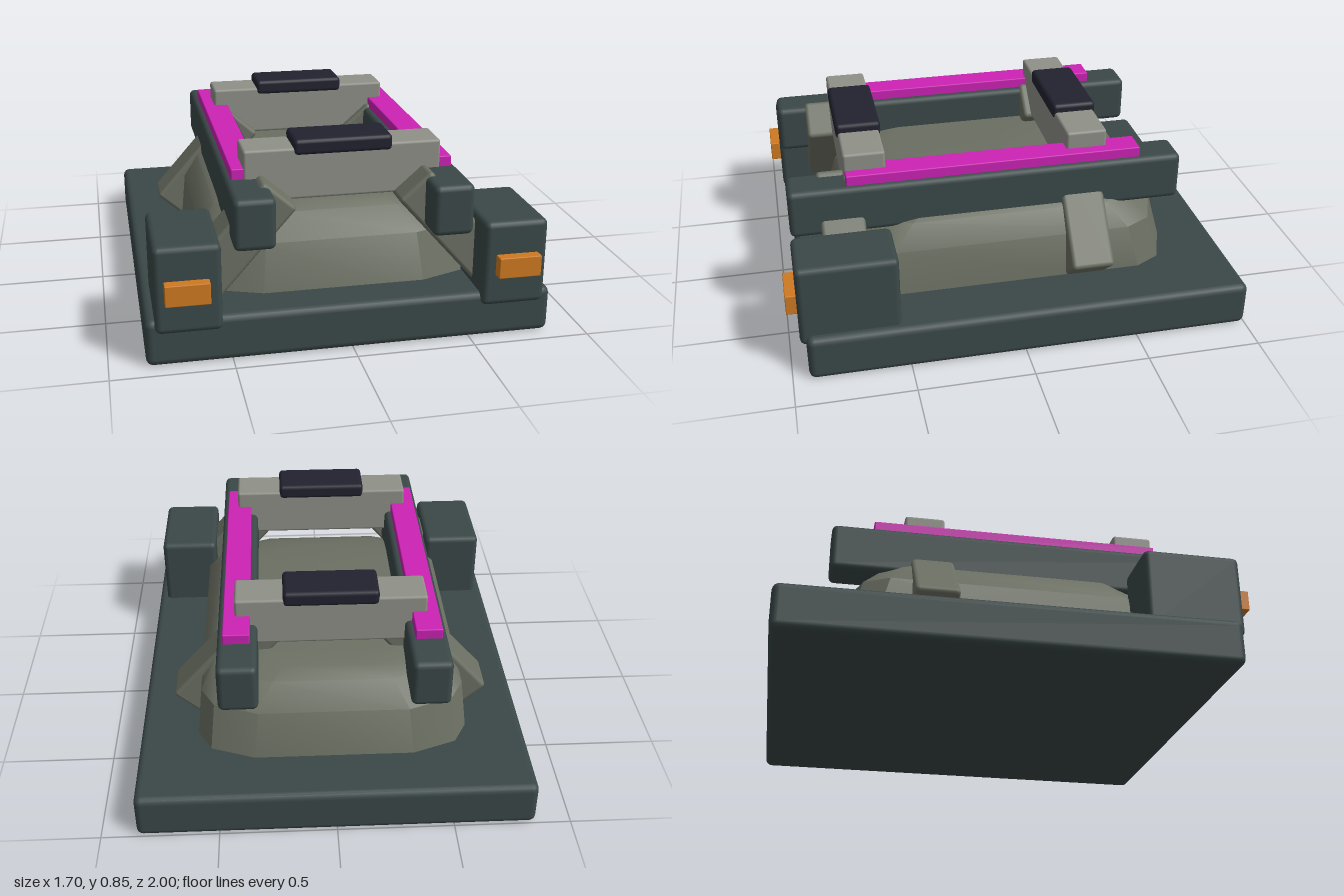
import * as THREE from 'three';
import { toCreasedNormals } from 'three/addons/utils/BufferGeometryUtils.js';
import { RoundedBoxGeometry } from 'three/addons/geometries/RoundedBoxGeometry.js';

const paint = (name, color) => {
  const m = new THREE.MeshStandardMaterial({ color });
  m.name = name;
  return m;
};

export function createModel() {
  const slate = paint('dark slate', 0x3b4848);
  const olive = paint('olive grey', 0x6c7063);
  const lightGrey = paint('light grey', 0x8f9088);
  const black = paint('blue black', 0x222230);
  const magenta = paint('magenta', 0xcc22b4);
  const orange = paint('orange', 0xcf7a22);

  const root = new THREE.Group();
  root.name = 'dockingPlatform';

  // Rounded box given by its extents on each axis
  function block(name, mat, [x0, x1], [y0, y1], [z0, z1], radius) {
    const geo = new RoundedBoxGeometry(x1 - x0, y1 - y0, z1 - z0, 2, radius);
    const mesh = new THREE.Mesh(geo, mat);
    mesh.name = name;
    mesh.position.set((x0 + x1) / 2, (y0 + y1) / 2, (z0 + z1) / 2);
    root.add(mesh);
    return mesh;
  }

  block('base', slate, [-0.85, 0.85], [0, 0.2], [-1, 0.93], 0.03);

  // Hull: stacked outlines with cut corners, narrowing to a flat top
  const levels = [
    { y: 0.15, hx: 0.6, hz: 0.765 },
    { y: 0.4, hx: 0.575, hz: 0.7 },
    { y: 0.5, hx: 0.51, hz: 0.61 },
    { y: 0.53, hx: 0.46, hz: 0.54 },
    { y: 0.545, hx: 0.38, hz: 0.45 },
  ];
  const outline = ({ y, hx, hz }) => {
    const corner = [[hx, hz - 0.18], [hx - 0.06, hz - 0.07], [hx - 0.25, hz]];
    const flip = (sx, sz) => corner.map(([x, z]) => new THREE.Vector3(x * sx, y, z * sz));
    return [...flip(1, 1), ...flip(-1, 1).reverse(), ...flip(-1, -1), ...flip(1, -1).reverse()];
  };
  const loops = levels.map(outline);
  const n = loops[0].length;
  const pts = [];
  for (let l = 0; l < loops.length - 1; l++) {
    for (let i = 0; i < n; i++) {
      const j = (i + 1) % n;
      const a = loops[l][i], b = loops[l][j], c = loops[l + 1][j], d = loops[l + 1][i];
      pts.push(a, c, b, a, d, c);
    }
  }
  const top = loops[loops.length - 1];
  for (let i = 1; i < n - 1; i++) pts.push(top[0], top[i + 1], top[i]);
  // Keep every triangle facing outward from the hull centre
  const centre = new THREE.Vector3(0, 0.3, 0);
  for (let i = 0; i < pts.length; i += 3) {
    const [a, b, c] = pts.slice(i, i + 3);
    const normal = b.clone().sub(a).cross(c.clone().sub(a));
    if (normal.dot(a.clone().sub(centre)) < 0) [pts[i + 1], pts[i + 2]] = [c, b];
  }
  const hullGeo = new THREE.BufferGeometry().setFromPoints(pts);
  const hull = new THREE.Mesh(toCreasedNormals(hullGeo, 0.5), olive);
  hull.name = 'hull';
  root.add(hull);

  // Paired side parts
  for (const [side, s] of [['left', 1], ['right', -1]]) {
    const span = (a, b) => (s > 0 ? [a, b] : [-b, -a]);
    block(side + 'CornerBlock', slate, span(0.54, 0.81), [0.15, 0.52], [0.53, 0.955], 0.025);
    block(side + 'Lamp', orange, span(0.59, 0.77), [0.29, 0.38], [0.9, 1], 0.004);
    block(side + 'Rail', slate, span(0.32, 0.49), [0.475, 0.69], [-0.775, 0.95], 0.025);
    block(side + 'RailStrip', magenta, span(0.35, 0.465), [0.67, 0.735], [-0.59, 0.7], 0.005);

    // Slanted struts carrying the rail
    for (const [end, z] of [['Front', 0.725], ['Rear', -0.33]]) {
      const strut = block(side + end + 'Strut', olive, span(0.185, 0.735), [0.355, 0.535], [z - 0.095, z + 0.095], 0.018);
      strut.position.set(0.46 * s, 0.445, z);
      strut.rotation.z = -0.85 * s;
    }
  }

  // Cross beams with dark grip pads
  for (const [end, z] of [['front', 0.615], ['rear', -0.36]]) {
    block(end + 'CrossBeam', lightGrey, [-0.415, 0.415], [0.59, 0.81], [z - 0.09, z + 0.09], 0.012);
    block(end + 'Pad', black, [-0.207, 0.207], [0.778, 0.846], [z - 0.098, z + 0.098], 0.018);
  }

  return root;
}
